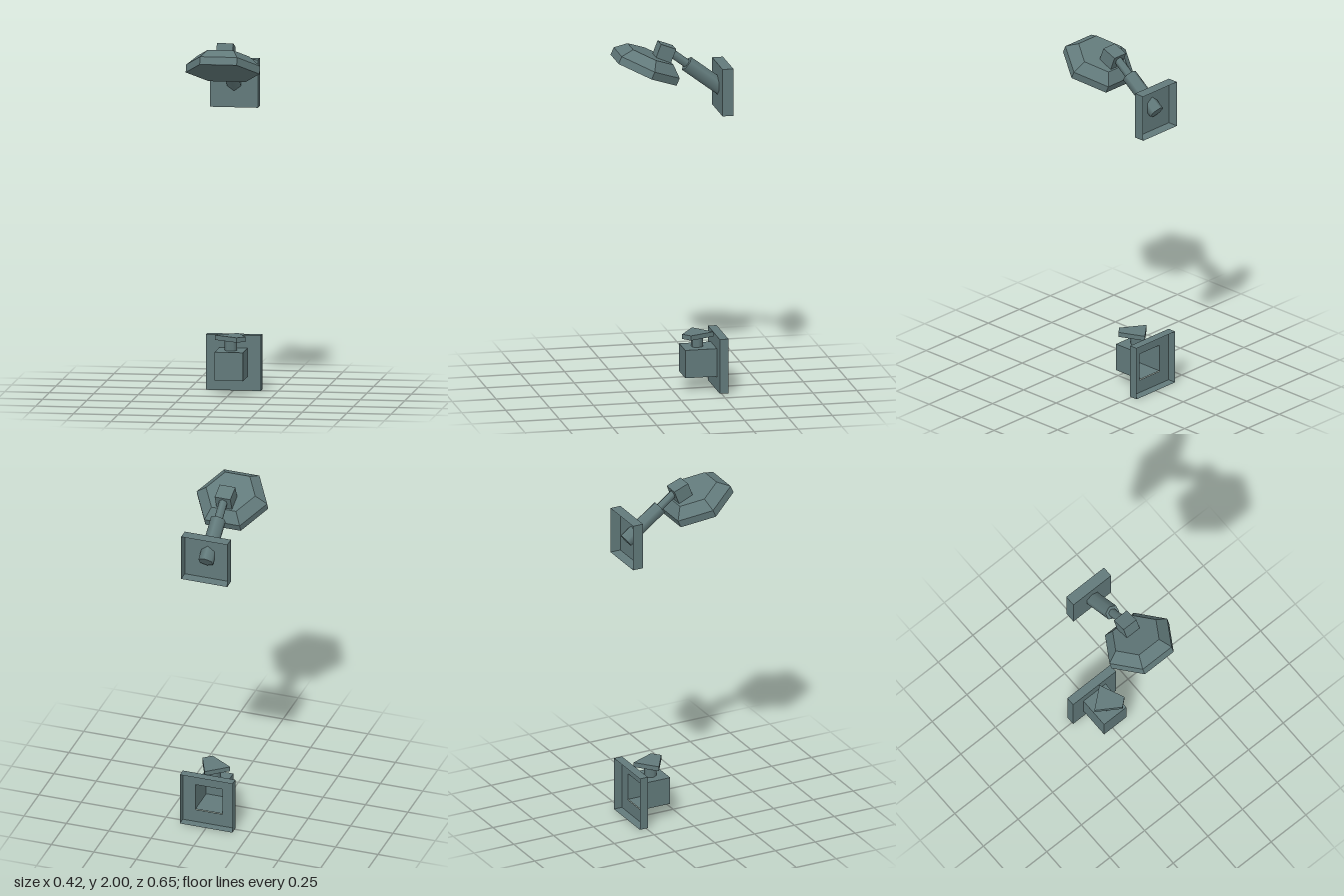
import * as THREE from 'three';

export function createModel() {
  const root = new THREE.Group();
  const metal = new THREE.MeshStandardMaterial({ color: 0x627a7b, side: THREE.DoubleSide });
  metal.name = 'greyTealMetal';

  function add(name, geometry, parent = root) {
    const mesh = new THREE.Mesh(geometry, metal);
    mesh.name = name;
    parent.add(mesh);
    return mesh;
  }

  function flat(geometry) {
    const g = geometry.toNonIndexed();
    g.computeVertexNormals();
    return g;
  }

  // Thin shell open at the back, with an optional square hole in its front
  function shell(name, size, center, hole = 0) {
    const [w, h, d] = size;
    const group = new THREE.Group();
    group.name = name;
    group.position.set(...center);
    const sides = new THREE.BoxGeometry(w, h, d);
    sides.setIndex(Array.from(sides.index.array).slice(0, 24));
    sides.clearGroups();
    add(name + 'Rim', sides, group);
    const square = (a, b, Type) => new Type([
      new THREE.Vector2(-a, -b), new THREE.Vector2(a, -b),
      new THREE.Vector2(a, b), new THREE.Vector2(-a, b),
    ]);
    const face = square(w / 2, h / 2, THREE.Shape);
    if (hole) face.holes.push(square(hole / 2, hole / 2, THREE.Path));
    add(name + 'Face', new THREE.ShapeGeometry(face), group).position.z = d / 2;
    root.add(group);
  }

  // Six-sided bar between two [y, z] points on the centre plane
  function hexBar(name, radius, [y0, z0], [y1, z1]) {
    const length = Math.hypot(y1 - y0, z1 - z0);
    const bar = add(name, new THREE.CylinderGeometry(radius, radius, length, 6));
    bar.position.set(0, (y0 + y1) / 2, (z0 + z1) / 2);
    bar.rotation.x = Math.atan2(z1 - z0, y1 - y0);
  }

  // Upper wall plate and sloping arm
  shell('armWallPlate', [0.272, 0.27, 0.062], [0, 1.725, -0.291]);
  hexBar('armSleeve', 0.044, [1.71, -0.296], [1.87, -0.085]);
  hexBar('armPipe', 0.024, [1.86, -0.098], [1.958, 0.03]);

  // Tilted block joining the arm and the head
  const tilt = THREE.MathUtils.degToRad(21);
  const blockDepth = 0.092, blockHeight = 0.13;
  const block = add('headJoint', new THREE.BoxGeometry(0.092, blockHeight, blockDepth)
    .translate(0, -blockHeight / 2, -blockDepth / 2));
  block.position.set(0, 2, 0.07);
  block.rotation.x = -tilt;

  // Hexagonal shower head: sloped top, straight lip, flat underside
  const profile = [[0, -0.045], [0.208, -0.045], [0.208, 0], [0.145, 0.054], [0, 0.054]]
    .map(([r, y]) => new THREE.Vector2(r, y));
  const head = add('showerHead', flat(new THREE.LatheGeometry(profile, 6, Math.PI / 2)));
  head.position.set(0, 1.886, 0.142);
  head.rotation.x = THREE.MathUtils.degToRad(-23.5);

  // Lower wall plate with the hollow valve body in front of its opening
  shell('valveWallPlate', [0.31, 0.312, 0.05], [0, 0.156, -0.265], 0.16);
  shell('valveBody', [0.16, 0.16, 0.18], [0, 0.16, -0.15]);

  // Stem
  const stem = add('valveStem', new THREE.CylinderGeometry(0.035, 0.035, 0.09, 6, 1, false, Math.PI / 6));
  stem.position.set(0, 0.258, -0.143);

  // Tapered handle, turned on the stem (shape y is -z)
  const outline = new THREE.Shape([[-0.088, 0.135], [0.045, 0.05], [0.092, 0.09], [0.029, 0.233]]
    .map(([x, y]) => new THREE.Vector2(x, y)));
  const handle = add('valveHandle', new THREE.ExtrudeGeometry(outline, { depth: 0.027, bevelEnabled: false }));
  handle.rotation.x = -Math.PI / 2;
  handle.position.y = 0.298;

  return root;
}
